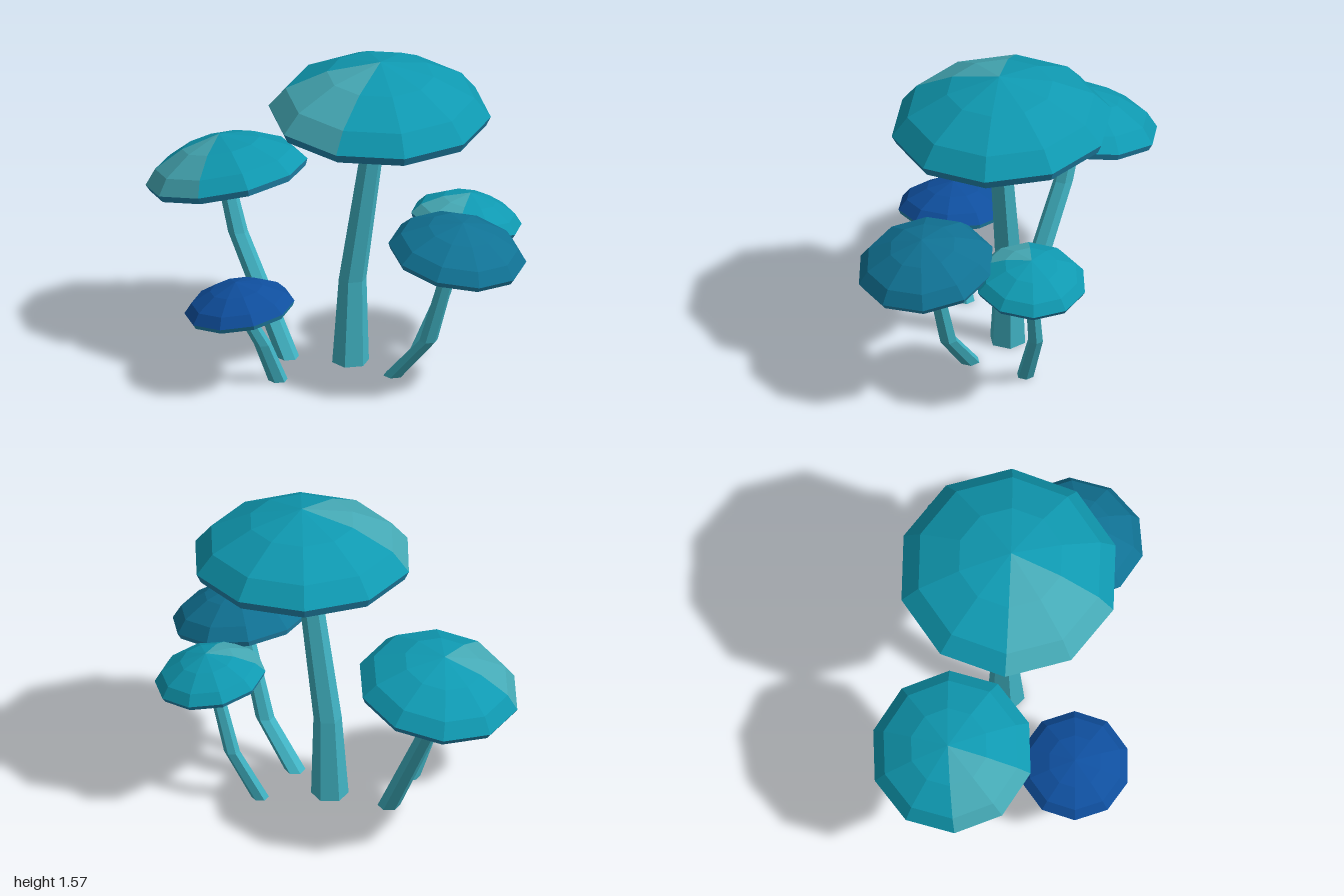
import * as THREE from 'three';

const flat = (name, color, side = THREE.FrontSide) => {
  const m = new THREE.MeshStandardMaterial({ color, flatShading: true, side });
  m.name = name;
  return m;
};
const D = THREE.DoubleSide;
const mats = {
  stem: flat('stemAqua', 0x40b2c2),
  teal: flat('capTeal', 0x0f99b1, D),
  patch: flat('capPaleTeal', 0x45a9b5, D),
  petrol: flat('capPetrol', 0x107294, D),
  blue: flat('capBlue', 0x0f4f9e, D),
  rim: flat('rimBlue', 0x2288b0, D),
};

// Cap profile for a radius of 1, from the rim up to the apex
const DOME = [[1, 0], [0.85, 0.18], [0.48, 0.37], [0.0001, 0.49]].map(p => new THREE.Vector2(...p));
const BAND = [[0.96, -0.085], [1, 0]].map(p => new THREE.Vector2(...p));
const rad = THREE.MathUtils.degToRad;

function add(parent, name, geometry, material) {
  const mesh = new THREE.Mesh(geometry, material);
  mesh.name = name;
  parent.add(mesh);
}

// Hollow ten-sided cap, tilted along an axis, with an optional pale patch two facets wide
function makeCap({ at, radius, axis, turn, color, patch }) {
  const cap = new THREE.Group();
  cap.name = 'cap';
  const start = rad(18 - turn);
  if (patch) {
    add(cap, 'dome', new THREE.LatheGeometry(DOME, 8, start, rad(288)), mats[color]);
    add(cap, 'palePatch', new THREE.LatheGeometry(DOME, 2, start - rad(72), rad(72)), mats.patch);
  } else {
    add(cap, 'dome', new THREE.LatheGeometry(DOME, 10, start), mats[color]);
  }
  add(cap, 'rimBand', new THREE.LatheGeometry(BAND, 10, start), mats.rim);
  cap.position.set(...at);
  cap.scale.setScalar(radius);
  cap.quaternion.setFromUnitVectors(new THREE.Vector3(0, 1, 0), new THREE.Vector3(...axis).normalize());
  return cap;
}

// Six-sided bent stem through three rings [x, y, z, radius], base first
function stemGeometry(rings) {
  const g = new THREE.CylinderGeometry(1, 1, 1, 6, 2, false, rad(17));
  const p = g.attributes.position;
  for (let i = 0; i < p.count; i++) {
    const [x, y, z, r] = rings[Math.round((p.getY(i) + 0.5) * 2)];
    p.setXYZ(i, x + p.getX(i) * r, y, z + p.getZ(i) * r);
  }
  g.computeVertexNormals();
  return g;
}

const MUSHROOMS = [
  { name: 'tallMushroom', color: 'teal', patch: true, turn: 6,
    at: [0.165, 1.31, -0.125], radius: 0.535, axis: [0.04, 1, 0.03],
    stem: [[0.04, 0, -0.06, 0.09], [0.045, 0.43, -0.07, 0.068], [0.17, 1.32, -0.105, 0.053]] },
  { name: 'rightMushroom', color: 'teal', patch: true, turn: 3,
    at: [-0.615, 0.86, 0.04], radius: 0.395, axis: [-0.22, 1, 0.01],
    stem: [[-0.235, 0, 0.07, 0.054], [-0.535, 0.58, 0.06, 0.048], [-0.63, 0.89, 0.05, 0.04]] },
  { name: 'frontMushroom', color: 'blue', patch: false, turn: 4,
    at: [-0.225, 0.41, 0.49], radius: 0.267, axis: [-0.12, 1, 0.09],
    stem: [[-0.115, 0, 0.325, 0.047], [-0.145, 0.21, 0.41, 0.042], [-0.22, 0.43, 0.505, 0.036]] },
  { name: 'leftMushroom', color: 'petrol', patch: false, turn: 0,
    at: [0.665, 0.72, -0.06], radius: 0.335, axis: [0.2, 1, 0],
    stem: [[0.305, 0, -0.04, 0.05], [0.495, 0.22, -0.06, 0.045], [0.65, 0.74, -0.07, 0.036]] },
  { name: 'backMushroom', color: 'teal', patch: true, turn: -6,
    at: [0.41, 0.68, -0.5], radius: 0.27, axis: [0.1, 1, -0.13],
    stem: [[0.24, 0, -0.33, 0.042], [0.31, 0.28, -0.45, 0.038], [0.405, 0.7, -0.495, 0.032]] },
];

export function createModel() {
  const model = new THREE.Group();
  model.name = 'mushroomCluster';
  for (const m of MUSHROOMS) {
    const group = new THREE.Group();
    group.name = m.name;
    add(group, 'stem', stemGeometry(m.stem), mats.stem);
    group.add(makeCap(m));
    model.add(group);
  }
  return model;
}
